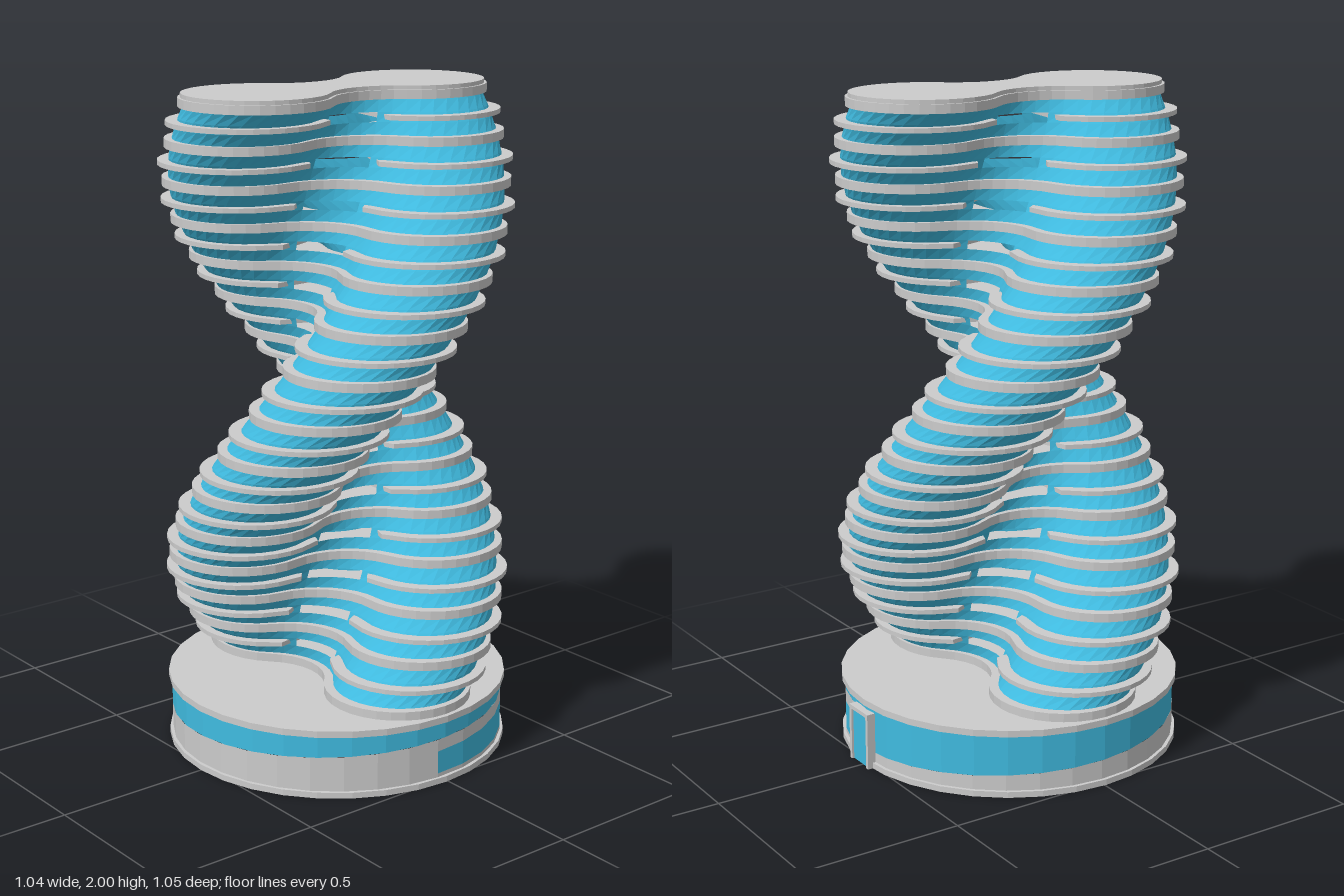
import * as THREE from 'three';

const grey = new THREE.MeshStandardMaterial({ color: 0xcccccc, flatShading: true, side: THREE.DoubleSide });
const glass = new THREE.MeshStandardMaterial({ color: 0x40bbe0, flatShading: true, side: THREE.DoubleSide });

const FLOORS = 28, Y0 = 0.225, STEP = 0.0625;
const LOBE_R = 0.22, LOBE_C = 0.29, NECK_R = 0.19;
const rad = THREE.MathUtils.degToRad;

// Three quarters of a turn from the lowest floor to the roof
const twist = (y) => rad(-90 + 270 * (y - Y0) / (FLOORS * STEP));

// Figure-of-eight plan (x, z), grown outward by d: two lobes joined by concave fillets
function outline(d) {
  const pts = [];
  const arc = (cx, cz, r, a0, a1, n) => {
    for (let i = 0; i < n; i++) {
      const a = rad(a0 + (a1 - a0) * i / n);
      pts.push(new THREE.Vector2(cx + r * Math.cos(a), cz + r * Math.sin(a)));
    }
  };
  arc(0, LOBE_C, LOBE_R + d, -45, 225, 24);
  arc(-LOBE_C, 0, NECK_R - d, 45, -45, 8);
  arc(0, -LOBE_C, LOBE_R + d, 135, 405, 24);
  arc(LOBE_C, 0, NECK_R - d, 225, 135, 8);
  return pts;
}

function add(group, name, geometry, material) {
  const mesh = new THREE.Mesh(geometry, material);
  mesh.name = name;
  group.add(mesh);
  return mesh;
}

// Flat slab centred on height y and turned to follow the tower
function slab(pts, y, thickness, angle = twist(y)) {
  const g = new THREE.ExtrudeGeometry(new THREE.Shape(pts), { depth: thickness, bevelEnabled: false });
  g.rotateX(Math.PI / 2);
  g.rotateY(angle);
  g.translate(0, y + thickness / 2, 0);
  return g;
}

// Twisting glass skin, left open at the neck on every half floor
function skinGeometry() {
  const pts = outline(-0.02), n = pts.length;
  const rows = [];
  for (let k = 0; k <= FLOORS; k++) {
    const y = Y0 + k * STEP;
    rows.push({ y: y - 0.015, open: k % 2 === 1 }, { y: y + 0.013, open: false });
  }
  const pos = [], index = [];
  rows.forEach(({ y }) => {
    const c = Math.cos(twist(y)), s = Math.sin(twist(y));
    pts.forEach((p) => pos.push(p.x * c + p.y * s, y, -p.x * s + p.y * c));
  });
  for (let r = 0; r < rows.length - 1; r++) {
    for (let i = 0; i < n; i++) {
      const j = (i + 1) % n;
      if (rows[r].open && Math.abs(pts[i].y + pts[j].y) / 2 < 0.09) continue;
      const a = r * n + i, b = r * n + j;
      index.push(a, a + n, b, b, a + n, b + n);
    }
  }
  const g = new THREE.BufferGeometry();
  g.setAttribute('position', new THREE.Float32BufferAttribute(pos, 3));
  g.setIndex(index);
  g.computeVertexNormals();
  return g;
}

// Curved wall panel between two heights that depend on the angle (0 = front, 90 = +x)
function wall(a0, a1, low, high, radius = 0.51) {
  const n = Math.max(1, Math.round((a1 - a0) / 11.25));
  const pos = [], index = [];
  for (let i = 0; i <= n; i++) {
    const a = a0 + (a1 - a0) * i / n;
    const x = radius * Math.sin(rad(a)), z = radius * Math.cos(rad(a));
    pos.push(x, low(a), z, x, high(a), z);
    if (i < n) index.push(2 * i, 2 * i + 2, 2 * i + 1, 2 * i + 1, 2 * i + 2, 2 * i + 3);
  }
  const g = new THREE.BufferGeometry();
  g.setAttribute('position', new THREE.Float32BufferAttribute(pos, 3));
  g.setIndex(index);
  g.computeVertexNormals();
  return g;
}

function createBase() {
  const base = new THREE.Group();
  base.name = 'base';

  // Podium roof and open bottom rim
  add(base, 'podiumRoof', new THREE.CylinderGeometry(0.52, 0.52, 0.02, 32), grey).position.y = 0.2;
  const rim = [[0.5, 0], [0.52, 0], [0.52, 0.018], [0.5, 0.018], [0.5, 0]];
  add(base, 'bottomRim', new THREE.LatheGeometry(rim.map(([x, y]) => new THREE.Vector2(x, y)), 32), grey);

  // Glazed band over a solid wall that climbs around the podium
  const ramp = (a) => 0.108 + a * 0.00034;
  const lowTop = (a) => 0.1 + (a - 87) * 0.00027;
  const flat = (y) => () => y;
  add(base, 'upperGlazing', wall(-180, 180, ramp, flat(0.19)), glass);
  add(base, 'rampWall', wall(-180, 87, flat(0), ramp), grey);
  add(base, 'lowerSill', wall(87, 180, flat(0), flat(0.03)), grey);
  add(base, 'lowerGlazing', wall(87, 180, flat(0.03), lowTop), glass);
  add(base, 'rampWallEnd', wall(87, 180, lowTop, ramp), grey);

  // Entrance at the back: frame and glass door
  const door = new THREE.Group();
  door.name = 'entrance';
  const box = (name, w, h, d, x, y, mat) =>
    add(door, name, new THREE.BoxGeometry(w, h, d), mat).position.set(x, y, 0);
  for (const s of [-1, 1]) box('doorPost', 0.012, 0.175, 0.026, s * 0.048, 0.0875, grey);
  box('doorLintel', 0.108, 0.012, 0.026, 0, 0.169, grey);
  box('doorPane', 0.085, 0.163, 0.012, 0, 0.0815, glass);
  door.position.set(0.012, 0, -0.519);
  base.add(door);
  return base;
}

export function createModel() {
  const model = new THREE.Group();
  model.name = 'twistedTower';
  model.add(createBase());

  const tower = new THREE.Group();
  tower.name = 'tower';
  add(tower, 'glassSkin', skinGeometry(), glass);

  // Whole floors alternate with pairs of thin half floors that stop short of the neck
  const full = outline(0), wide = outline(0.012);
  const half = [
    wide.filter((p) => p.y > 0.08),
    wide.filter((p) => p.y < -0.08),
  ];
  // Each lobe's points are put in order around its own centre
  half.forEach((pts, i) => {
    const start = i ? Math.PI / 2 : -Math.PI / 2;
    const turn = (p) => (Math.atan2(p.y - (i ? -LOBE_C : LOBE_C), p.x) - start + 4 * Math.PI) % (2 * Math.PI);
    pts.sort((a, b) => turn(a) - turn(b));
  });
  for (let k = 0; k <= FLOORS; k++) {
    const y = Y0 + k * STEP;
    if (k % 2 === 0) add(tower, 'floor', slab(full, y, 0.026), grey);
    else half.forEach((pts) => add(tower, 'halfFloor', slab(pts, y, 0.014), grey));
  }

  // Roof cap
  add(tower, 'roof', slab(outline(-0.008), 1.993, 0.014, Math.PI), grey);
  model.add(tower);

  model.position.z = 0.005;
  return model;
}
